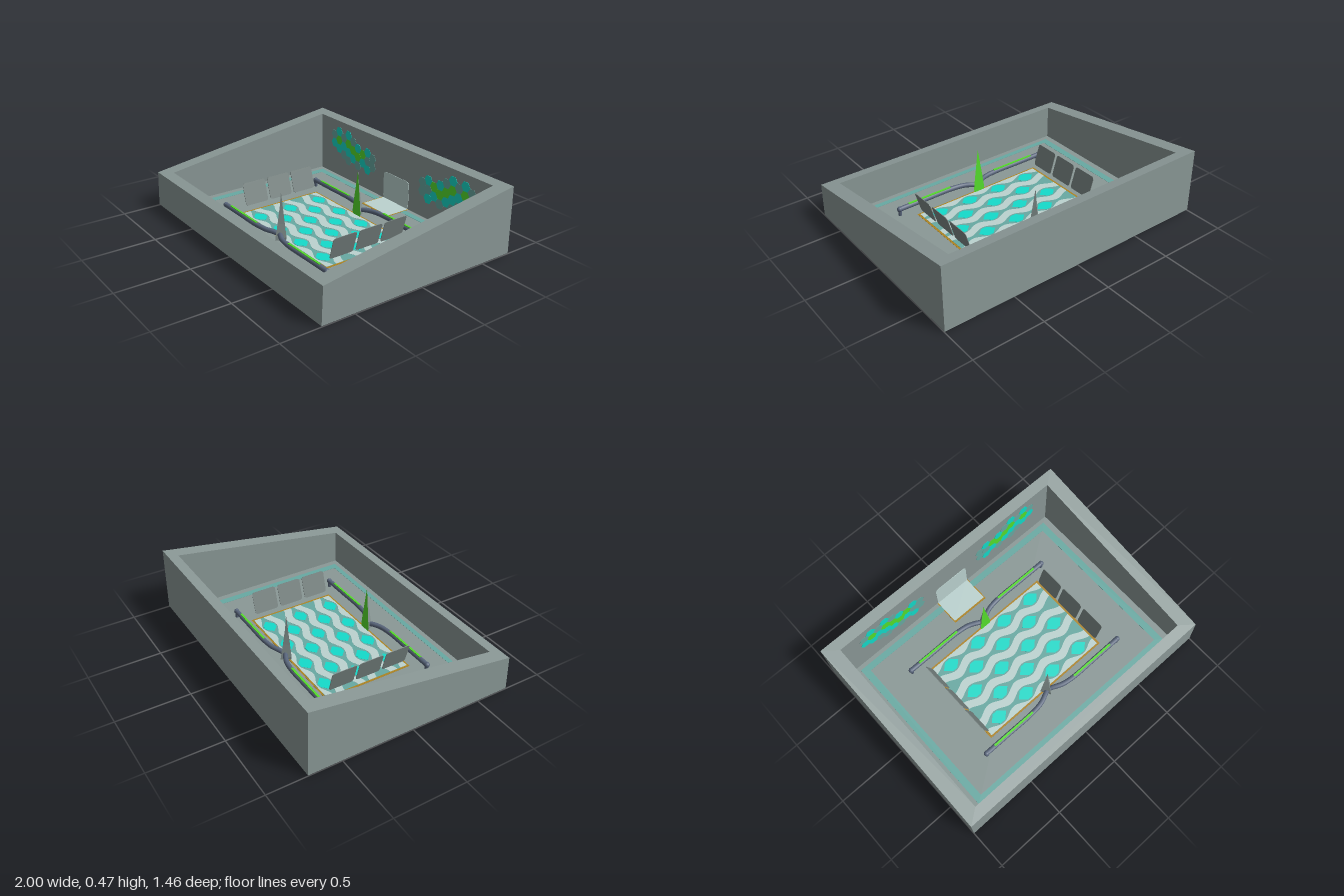
import * as THREE from 'three';

const mat = (name, color) => {
  const m = new THREE.MeshStandardMaterial({ color, side: THREE.DoubleSide });
  m.name = name;
  return m;
};

export function createModel() {
  const stone = mat('stone grey', 0x8a9896);
  const panelGrey = mat('panel grey', 0x7c8886);
  const steel = mat('blue steel', 0x5a677d);
  const pale = mat('pale glass', 0xbcd3d0);
  const cyan = mat('bright cyan', 0x14dccb);
  const teal = mat('soft teal', 0x68aaa3);
  const green = mat('glow green', 0x55de2c);
  const gold = mat('gold trim', 0xae8420);

  const model = new THREE.Group();
  const add = (name, geo, material, parent = model) => {
    const m = new THREE.Mesh(geo, material);
    m.name = name;
    parent.add(m);
    return m;
  };
  const box = (name, x0, x1, y0, y1, z0, z1, material) => {
    const m = add(name, new THREE.BoxGeometry(x1 - x0, y1 - y0, z1 - z0), material);
    m.position.set((x0 + x1) / 2, (y0 + y1) / 2, (z0 + z1) / 2);
    return m;
  };
  // Joins consecutive rows of points with flat quads
  const loft = (rows, closed) => {
    const pos = [];
    for (let r = 0; r + 1 < rows.length; r++) {
      const n = rows[r].length;
      for (let i = 0; i < (closed ? n : n - 1); i++) {
        const j = (i + 1) % n;
        const a = rows[r][i], b = rows[r][j], c = rows[r + 1][j], d = rows[r + 1][i];
        pos.push(...a, ...b, ...c, ...a, ...c, ...d);
      }
    }
    const g = new THREE.BufferGeometry();
    g.setAttribute('position', new THREE.Float32BufferAttribute(pos, 3));
    g.computeVertexNormals();
    return g;
  };
  // Flat plate lying in the floor, outline given as [x, z]
  const floorPlate = (name, pts, y0, y1, material, hole) => {
    const shape = new THREE.Shape(pts.map(([x, z]) => new THREE.Vector2(x, -z)));
    if (hole) shape.holes.push(new THREE.Path(hole.map(([x, z]) => new THREE.Vector2(x, -z))));
    const g = new THREE.ExtrudeGeometry(shape, { depth: y1 - y0, bevelEnabled: false });
    g.rotateX(-Math.PI / 2).translate(0, y0, 0);
    return add(name, g, material);
  };
  const rect = (x, z0, z1) => [[-x, z1], [x, z1], [x, z0], [-x, z0]];
  // Thin upright sheet with rounded corners, centred on its middle
  const roundedSheet = (w, h, r, depth) => {
    const s = new THREE.Shape();
    s.moveTo(-w + r, -h).lineTo(w - r, -h).quadraticCurveTo(w, -h, w, -h + r)
      .lineTo(w, h - r).quadraticCurveTo(w, h, w - r, h)
      .lineTo(-w + r, h).quadraticCurveTo(-w, h, -w, h - r)
      .lineTo(-w, -h + r).quadraticCurveTo(-w, -h, -w + r, -h);
    return new THREE.ExtrudeGeometry(s, { depth, bevelEnabled: false }).translate(0, 0, -depth / 2);
  };

  // Enclosing walls with a sloping rim, hollow underneath
  const slope = z => 0.358 - 0.149 * z;
  const ring = (x, z0, z1, height) => rect(x, z0, z1).map(([px, pz]) => [px, height(pz), pz]);
  add('walls', loft([
    ring(1, -0.73, 0.73, () => 0.005),
    ring(1, -0.725, 0.72, slope),
    ring(0.9, -0.65, 0.645, slope),
    ring(0.9, -0.65, 0.645, () => 0.005),
  ], true), stone);
  box('floor', -0.9, 0.9, 0.009, 0.013, -0.65, 0.645, stone);

  // Border path set into the floor
  floorPlate('borderPath', rect(0.855, -0.62, 0.61), 0.0075, 0.0145, teal, rect(0.805, -0.575, 0.575));

  // Central rug: gold edge, teal base, wavy pale bands, bright diamonds
  const Z0 = -0.295, Z1 = 0.325, X = 0.49, pitch = 0.124, wave = 0.246;
  box('goldEdge', -X - 0.015, X + 0.015, 0.0075, 0.0145, Z0 - 0.012, Z1 + 0.012, gold);
  box('patternBase', -X, X, 0.0065, 0.0155, Z0, Z1, teal);
  const clampZ = z => Math.min(Z1, Math.max(Z0, z));
  for (let k = 0; k <= 5; k++) {
    const mid = x => Z0 + pitch * k + (k % 2 ? -1 : 1) * 0.02 * Math.cos(2 * Math.PI * x / wave);
    const upper = [], lower = [];
    for (let i = 0; i <= 64; i++) {
      const x = -X + (2 * X * i) / 64, z = mid(x);
      // Edge bands are cut off by the rug outline
      upper.push([x, clampZ(z - 0.029) - (k === 5 ? 0.001 : 0)]);
      lower.unshift([x, clampZ(z + 0.029) + (k === 0 ? 0.001 : 0)]);
    }
    floorPlate('wavyBand', [...lower, ...upper], 0.0055, 0.0165, pale);
  }
  for (let row = 0; row < 5; row++) {
    const z = Z0 + pitch * (row + 0.5);
    for (let i = -2; i <= 2; i++) {
      const x = i * wave + (row % 2 ? 0 : wave / 2);
      if (Math.abs(x) > 0.4) continue;
      floorPlate('brightDiamond', [[x - 0.065, z], [x - 0.02, z + 0.042], [x + 0.02, z + 0.042],
        [x + 0.065, z], [x + 0.02, z - 0.042], [x - 0.02, z - 0.042]], 0.006, 0.016, cyan);
    }
  }

  // Panels leaning outward, three on each side
  const panel = roundedSheet(0.09, 0.08, 0.02, 0.004).rotateY(Math.PI / 2);
  for (const side of [-1, 1]) {
    for (const z of [-0.188, 0.012, 0.213]) {
      const p = add('sidePanel', panel, panelGrey);
      p.position.set(side * 0.512, 0.14, z);
      p.rotation.z = -side * 0.28;
    }
  }

  // Rails with a glowing strip and a pointed fin, in front of and behind the rug
  for (const end of [-1, 1]) {
    const set = new THREE.Group();
    set.name = end > 0 ? 'frontRailSet' : 'backRailSet';
    set.position.z = 0.015;
    model.add(set);
    const v = (x, y, z) => new THREE.Vector3(x, y, end * z);
    for (const side of [-1, 1]) {
      const path = new THREE.CatmullRomCurve3([
        v(0, 0.05, 0.33), v(side * 0.04, 0.058, 0.35), v(side * 0.1, 0.06, 0.375),
        v(side * 0.2, 0.06, 0.388), v(side * 0.4, 0.06, 0.388), v(side * 0.6, 0.06, 0.388),
      ]);
      add('rail', new THREE.TubeGeometry(path, 40, 0.017, 10), steel, set);
      const cap = add('railEnd', new THREE.SphereGeometry(0.019, 12, 8), steel, set);
      cap.position.set(side * 0.602, 0.06, end * 0.388);
      const leg = add('railLeg', new THREE.CylinderGeometry(0.014, 0.012, 0.06, 10), steel, set);
      leg.position.set(side * 0.6, 0.03, end * 0.388);
      const strip = add('glowStrip', new THREE.BoxGeometry(0.34, 0.006, 0.014), green, set);
      strip.position.set(side * 0.36, 0.077, end * 0.388);
    }
    // Fin cross-sections: height, half width, inner z, outer ridge z
    const sections = [[0.006, 0.036, 0.306, 0.368], [0.04, 0.044, 0.307, 0.363], [0.13, 0.032, 0.309, 0.345],
      [0.25, 0.014, 0.312, 0.325], [0.34, 0.001, 0.314, 0.316]];
    const inner = sections.map(([y, w, zi]) => [[end * w, y, end * zi], [-end * w, y, end * zi]]);
    const outer = sections.map(([y, w, zi, zo]) =>
      [[-end * w, y, end * zi], [0, y, end * zo], [end * w, y, end * zi]]);
    add('finInnerFace', loft(inner), green, set);
    add('finOuterFaces', loft(outer), stone, set);
  }

  // Pale entry screen: mat on the floor and upright sheet on the back wall
  box('entryMatTrim', -0.142, 0.142, 0.0075, 0.0145, -0.648, -0.452, gold);
  box('entryMat', -0.135, 0.135, 0.0065, 0.0155, -0.65, -0.465, pale);
  add('entryScreen', roundedSheet(0.135, 0.105, 0.03, 0.004), pale).position.set(0, 0.115, -0.649);

  // Hexagon tiles on the back wall, mirrored: c cyan, g green, t teal
  const tiles = { c: cyan, g: green, t: teal };
  const columns = [
    [0.335, 'tc'], [0.37, 'cgc'], [0.335, 'tct'], [0.37, 'cgct'], [0.335, 'tgc'],
    [0.3, 'cgt'], [0.27, 'gc'], [0.3, 'ctc'], [0.27, 'tt'],
  ];
  const hex = new THREE.CylinderGeometry(0.039, 0.039, 0.003, 6);
  hex.rotateY(Math.PI / 6).rotateX(Math.PI / 2);
  for (const side of [-1, 1]) {
    columns.forEach(([top, row], i) => [...row].forEach((key, j) => {
      const tile = add('wallHexagon', hex, tiles[key]);
      tile.position.set(side * (0.732 - 0.0575 * i), top - 0.0675 * j, -0.6495);
    }));
  }
  return model;
}
